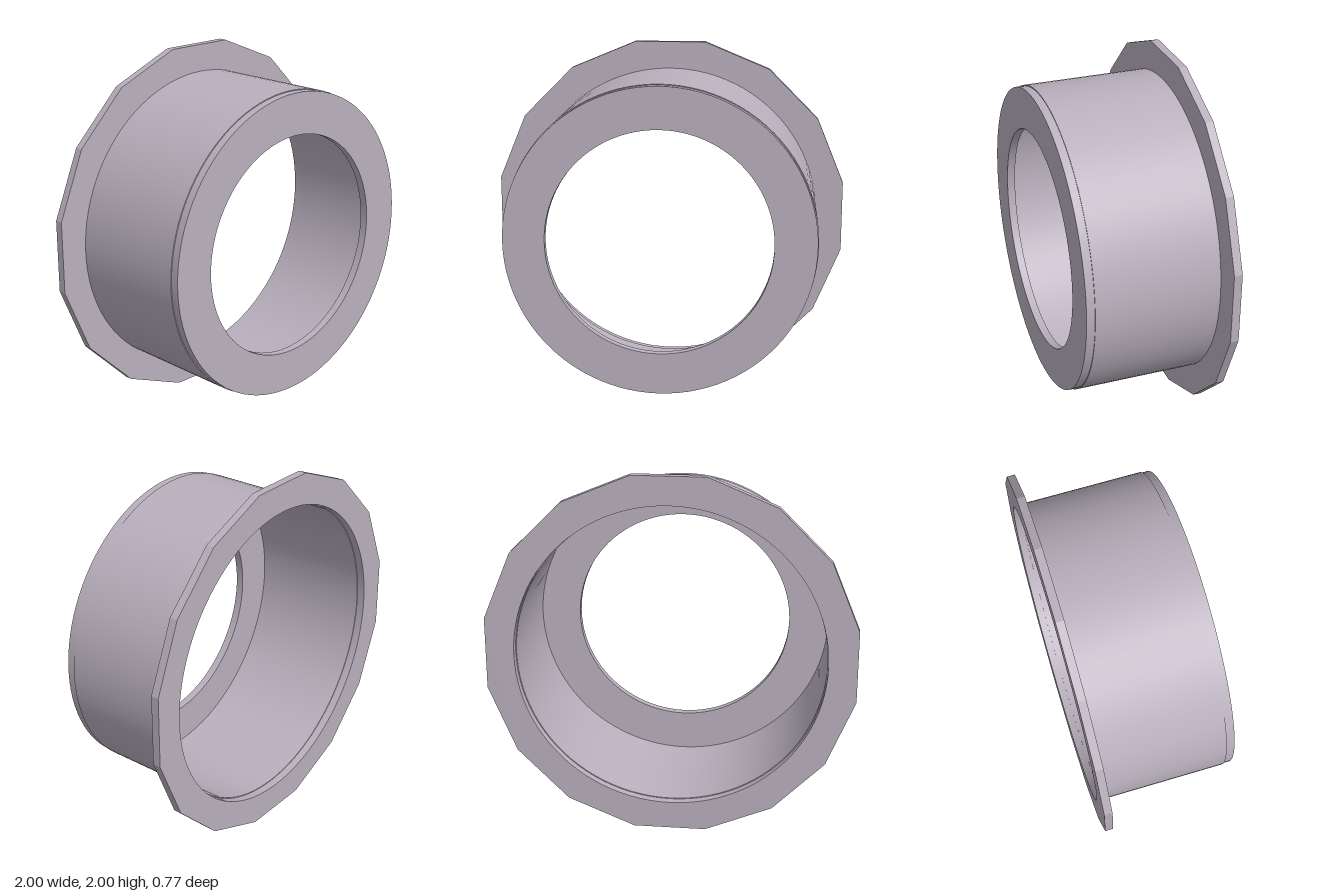
import * as THREE from 'three';
import { toCreasedNormals } from 'three/addons/utils/BufferGeometryUtils.js';

const circle = (path, r) => path.absarc(0, 0, r, 0, Math.PI * 2, false);

// Extrude an outline with a round hole from z0 to z1
function ring(name, shape, holeRadius, z0, z1, crease, material) {
  shape.holes.push(circle(new THREE.Path(), holeRadius));
  const geometry = new THREE.ExtrudeGeometry(shape, {
    depth: z1 - z0, bevelEnabled: false, curveSegments: 48,
  });
  geometry.translate(0, 1, z0);
  const mesh = new THREE.Mesh(toCreasedNormals(geometry, crease), material);
  mesh.name = name;
  return mesh;
}

export function createModel() {
  const group = new THREE.Group();
  group.name = 'flangedCollar';
  const metal = new THREE.MeshStandardMaterial({ color: 0xb9b0bd });
  metal.name = 'mauve grey';

  // Sixteen-sided mounting flange, with flats at top, bottom and sides
  const corner = 1 / Math.cos(Math.PI / 16);
  const points = [];
  for (let i = 0; i < 16; i++) {
    const a = ((i + 0.5) / 16) * Math.PI * 2;
    points.push(new THREE.Vector2(Math.cos(a) * corner, Math.sin(a) * corner));
  }
  group.add(ring('flange', new THREE.Shape(points), 0.845, -0.385, -0.34, 0.2, metal));

  // Thin-walled barrel
  group.add(ring('barrel', circle(new THREE.Shape(), 0.85), 0.84, -0.34, 0.34, 0.5, metal));

  // Front end ring with the smaller opening
  group.add(ring('endRing', circle(new THREE.Shape(), 0.845), 0.616, 0.34, 0.385, 0.5, metal));

  return group;
}
